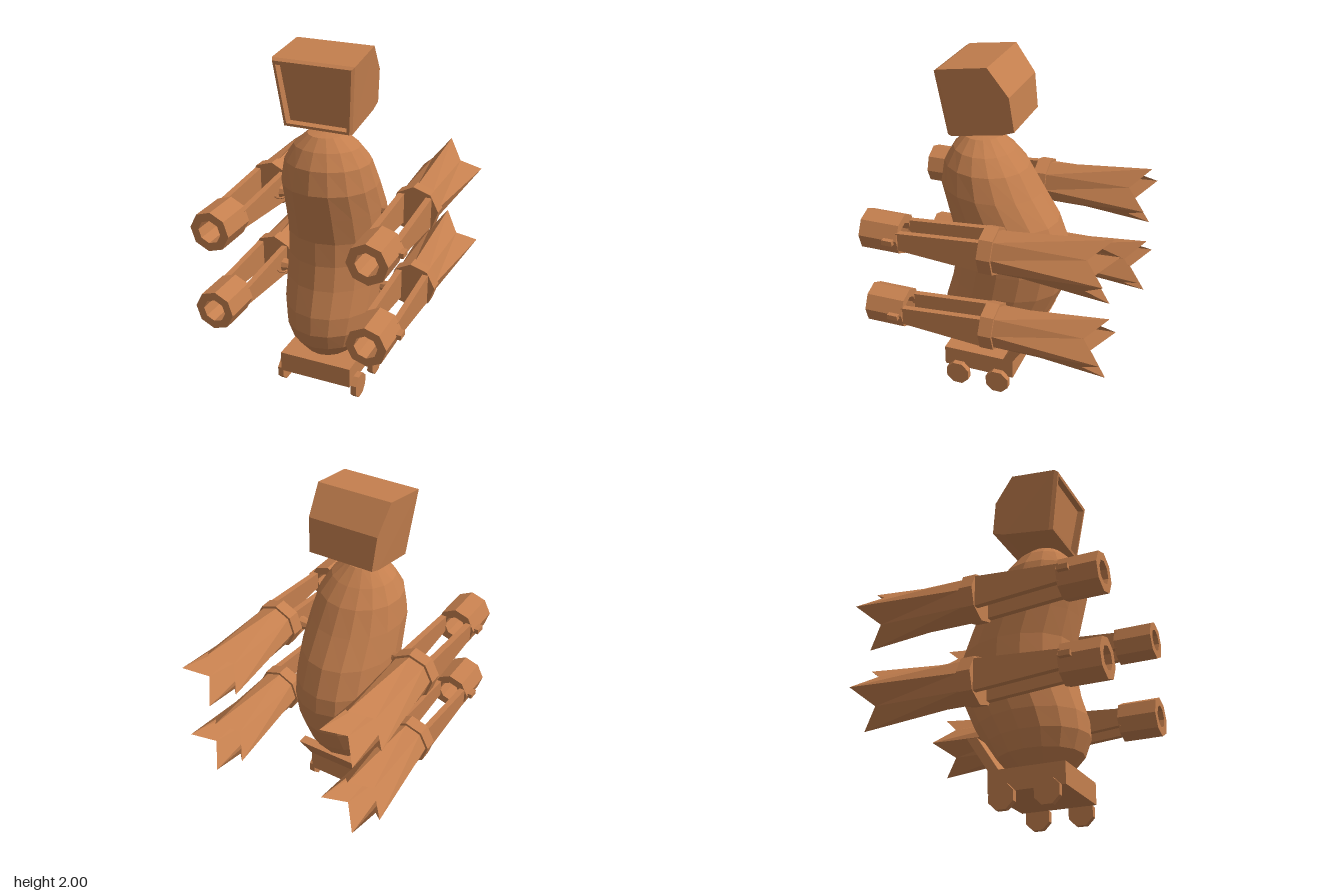
import * as THREE from 'three';

const clay = new THREE.MeshStandardMaterial({ color: 0xc47f4e, side: THREE.DoubleSide });
clay.name = 'clay';

// Faceted mesh from any geometry
function part(name, geometry, parent) {
  const g = geometry.index ? geometry.toNonIndexed() : geometry;
  g.computeVertexNormals();
  const mesh = new THREE.Mesh(g, clay);
  mesh.name = name;
  parent.add(mesh);
  return mesh;
}

function box(name, w, h, d, x, y, z, parent) {
  return part(name, new THREE.BoxGeometry(w, h, d).translate(x, y, z), parent);
}

// Skin over equal-length rings of [x, y, z]; optional flat end caps
function loft(rings, capStart, capEnd) {
  const n = rings[0].length, pos = rings.flat(2), idx = [];
  for (let i = 0; i < rings.length - 1; i++) {
    for (let j = 0; j < n; j++) {
      const k = (j + 1) % n, a = i * n, b = a + n;
      idx.push(a + j, b + j, b + k, a + j, b + k, a + k);
    }
  }
  const e = (rings.length - 1) * n;
  for (let j = 1; j < n - 1; j++) {
    if (capStart) idx.push(0, j, j + 1);
    if (capEnd) idx.push(e, e + j + 1, e + j);
  }
  const g = new THREE.BufferGeometry();
  g.setAttribute('position', new THREE.Float32BufferAttribute(pos, 3));
  g.setIndex(idx);
  return g;
}

// Octagonal ring facing z; radius and z may depend on the corner
function octagon(radius, z, turn) {
  const val = (v, k) => (typeof v === 'function' ? v(k) : v);
  return Array.from({ length: 8 }, (_, k) => {
    const a = k * Math.PI / 4 + turn, r = val(radius, k);
    return [r * Math.cos(a), r * Math.sin(a), val(z, k)];
  });
}

// Bean body: each row is front z, y, back z, y, half width
function buildBody(root) {
  const rows = [
    [0.28, 1.545, 0.08, 1.545, 0.1], [0.34, 1.485, 0.0, 1.47, 0.18],
    [0.39, 1.4, -0.08, 1.38, 0.235], [0.412, 1.27, -0.16, 1.24, 0.265],
    [0.375, 1.12, -0.26, 1.08, 0.275], [0.335, 0.96, -0.32, 0.92, 0.28],
    [0.335, 0.82, -0.33, 0.82, 0.28], [0.36, 0.68, -0.3, 0.66, 0.28],
    [0.405, 0.53, -0.23, 0.5, 0.27], [0.412, 0.42, -0.17, 0.4, 0.25],
    [0.375, 0.32, -0.11, 0.31, 0.215], [0.3, 0.23, -0.01, 0.225, 0.135],
  ];
  const rings = rows.map(([fz, fy, bz, by, w]) => Array.from({ length: 16 }, (_, j) => {
    const a = j * Math.PI / 8, c = Math.cos(a);
    return [w * Math.sin(a), (fy + by) / 2 + c * (fy - by) / 2, (fz + bz) / 2 + c * (fz - bz) / 2];
  }));
  rings.unshift(rings[0].map(() => [0, 1.56, 0.18]));
  rings.push(rings[0].map(() => [0, 0.205, 0.15]));
  part('body', loft(rings), root);
}

// Monitor head: each row is top z, y, half width, bottom z, y, half width
function buildHead(root) {
  const rows = [
    [0.315, 1.935, 0.195, 0.265, 1.615, 0.165],
    [0.352, 1.93, 0.2, 0.306, 1.61, 0.17],
    [0.355, 1.95, 0.215, 0.303, 1.595, 0.183],
    [0.335, 1.962, 0.226, 0.28, 1.592, 0.192],
    [0.065, 2.0, 0.218, 0.0, 1.635, 0.19],
    [-0.047, 1.85, 0.205, -0.07, 1.66, 0.19],
  ];
  const rings = rows.map(([tz, ty, tw, bz, by, bw]) =>
    [[tw, ty, tz], [-tw, ty, tz], [-bw, by, bz], [bw, by, bz]]);
  part('monitorHead', loft(rings, true, true), root);
}

// Wheeled base with a sloping back plate
function buildCart(root) {
  const cart = new THREE.Group();
  cart.name = 'cart';
  root.add(cart);
  box('cartBase', 0.43, 0.12, 0.43, 0, 0.16, 0.145, cart);
  const slab = (y, z0, z1) => [[-0.215, y, z0], [0.215, y, z0], [0.215, y, z1], [-0.215, y, z1]];
  part('backPlate', loft([slab(0.41, -0.135, -0.195), slab(0.22, -0.01, -0.07)], true, true), cart);
  for (const s of [1, -1]) {
    for (const z of [0.27, 0.02]) {
      const wheel = new THREE.CylinderGeometry(0.074, 0.074, 0.034, 8, 1, false, Math.PI / 8);
      part('wheel', wheel.rotateZ(Math.PI / 2).translate(s * 0.231, 0.069, z), cart);
    }
  }
}

// Finned side pod; s = 1 for the left side, -1 for the right
function buildPod(s, y, root) {
  const pod = new THREE.Group();
  pod.name = 'sidePod';
  pod.position.set(s * 0.44, y, 0);
  root.add(pod);
  const turn = s * 0.08;

  // Hollow muzzle, collar and flared tail with four points
  const ring = (r, z) => octagon(r, z, turn);
  part('muzzle', loft([ring(0.065, 0.46), ring(0.065, 0.68), ring(0.113, 0.68),
    ring(0.113, 0.46), ring(0.065, 0.46)]), pod);
  part('collar', loft([octagon(0.135, 0, turn), octagon(0.135, -0.075, turn)], true, true), pod);
  const isTip = (k) => k % 2 === 0;
  part('flaredTail', loft([ring(0.12, -0.07),
    ring((k) => (isTip(k) ? 0.18 : 0.122), (k) => (isTip(k) ? -0.68 : -0.57))], true), pod);

  // Tapered rails joining muzzle and collar
  for (const x of [0.078, -0.078]) {
    const end = (h, z) => [[x + 0.017, h, z], [x - 0.017, h, z], [x - 0.017, -h, z], [x + 0.017, -h, z]];
    part('rail', loft([end(0.05, 0.47), end(0.088, -0.01)], true, true), pod);
  }
  box('sideLug', 0.035, 0.028, 0.06, s * 0.118, 0.005, 0.505, pod);

  // Mounting arm and small hook between pod and body
  const arm = new THREE.CylinderGeometry(0.022, 0.042, 0.1, 8);
  part('mountArm', arm.rotateZ(-s * Math.PI / 2).scale(-1, 1, 1).rotateY(Math.PI)
    .rotateZ(Math.PI).translate(-s * 0.135, -0.01, 0.045), pod);
  const hook = new THREE.TorusGeometry(0.03, 0.006, 5, 8, Math.PI);
  part('hook', hook.rotateX(Math.PI / 2).translate(-s * 0.115, -0.01, 0.105), pod);
}

export function createModel() {
  const root = new THREE.Group();
  root.name = 'robot';
  buildBody(root);
  buildHead(root);
  buildCart(root);
  for (const s of [1, -1]) for (const y of [1.097, 0.624]) buildPod(s, y, root);
  return root;
}
